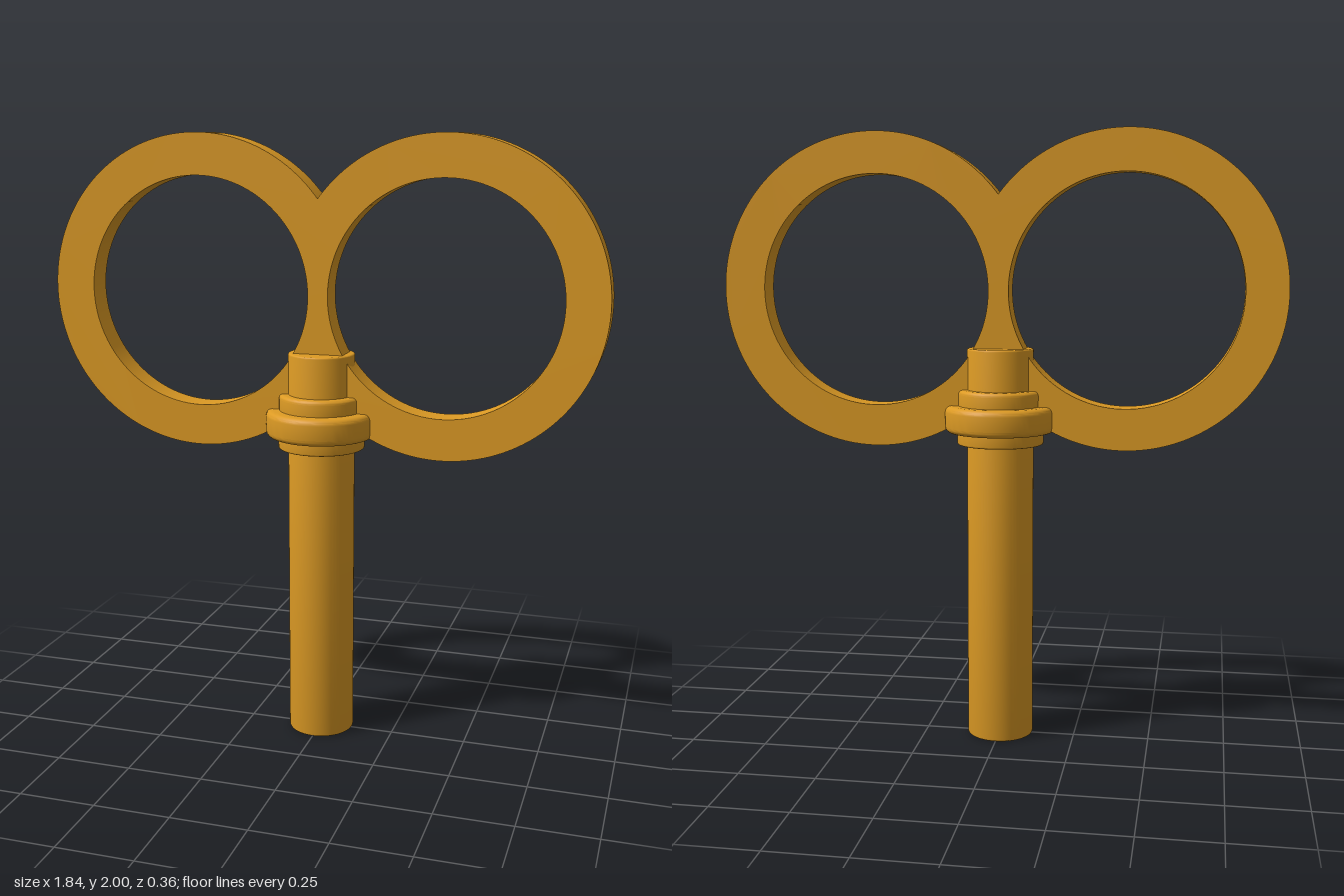
import * as THREE from 'three';
import { toCreasedNormals } from 'three/addons/utils/BufferGeometryUtils.js';

const CREASE = 0.45;

// Turned solid from [radius, y] points, with its bottom and top rims eased by a small fillet
function turned(name, radius, y0, y1, fillet, material) {
  const points = [new THREE.Vector2(0, y0)];
  const steps = 5;
  for (const [cy, start] of [[y0 + fillet, -Math.PI / 2], [y1 - fillet, 0]]) {
    for (let i = 0; i <= steps; i++) {
      const a = start + (i / steps) * Math.PI / 2;
      points.push(new THREE.Vector2(radius - fillet + fillet * Math.cos(a), cy + fillet * Math.sin(a)));
    }
  }
  points.push(new THREE.Vector2(0, y1));
  const mesh = new THREE.Mesh(toCreasedNormals(new THREE.LatheGeometry(points, 64), CREASE), material);
  mesh.name = name;
  return mesh;
}

// Flat double-loop handle: two merged discs with a round hole in each
function doubleLoop(material) {
  const cx = 0.408, cy = 1.49, outer = 0.51, inner = 0.375, depth = 0.09;
  const a = Math.acos(cx / outer);
  const shape = new THREE.Shape();
  shape.absarc(cx, cy, outer, a - Math.PI, Math.PI - a, false);
  shape.absarc(-cx, cy, outer, a, 2 * Math.PI - a, false);
  for (const side of [-1, 1]) {
    const hole = new THREE.Path();
    hole.absarc(side * cx, cy, inner, 0, Math.PI * 2, true);
    shape.holes.push(hole);
  }
  const geometry = new THREE.ExtrudeGeometry(shape, { depth, bevelEnabled: false, curveSegments: 72 });
  geometry.translate(0, 0, -depth / 2);
  const mesh = new THREE.Mesh(toCreasedNormals(geometry, CREASE), material);
  mesh.name = 'doubleLoopHandle';
  return mesh;
}

export function createModel() {
  const brass = new THREE.MeshStandardMaterial({ color: 0xdc9a24 });
  brass.name = 'brass';

  const model = new THREE.Group();
  model.name = 'windUpKey';
  model.add(
    doubleLoop(brass),
    turned('shaft', 0.109, 0, 1.303, 0.006, brass),
    // Stepped collar
    turned('lowerCollar', 0.142, 0.988, 1.05, 0.006, brass),
    turned('mainCollar', 0.182, 1.028, 1.116, 0.02, brass),
    turned('upperCollar', 0.139, 1.09, 1.168, 0.014, brass),
  );
  return model;
}
